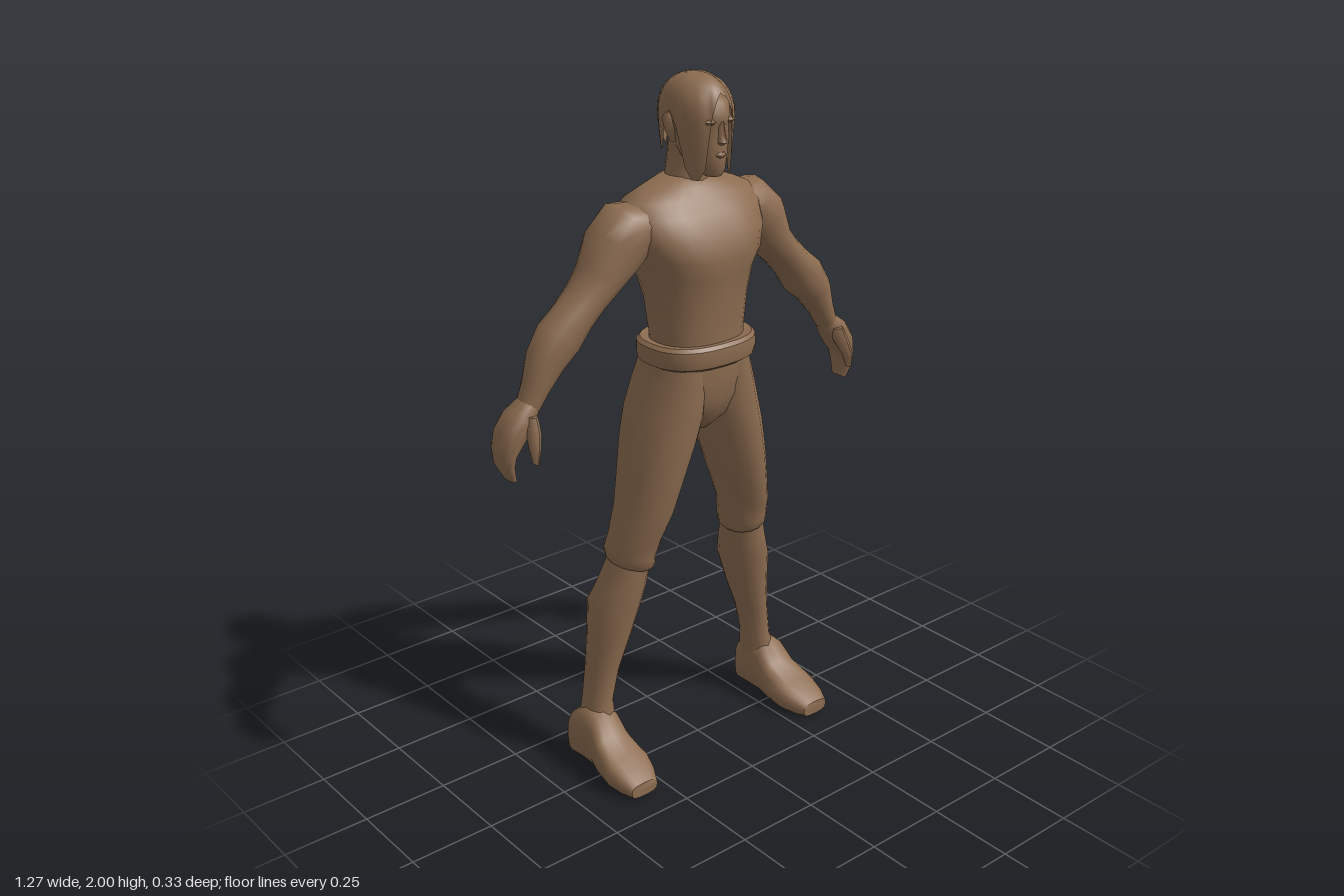
import * as THREE from 'three';
import { toCreasedNormals } from 'three/addons/utils/BufferGeometryUtils.js';

const brown = new THREE.MeshStandardMaterial({ color: 0x8c6c50, side: THREE.DoubleSide });
brown.name = 'brown';

// Loft through sections [x, y, halfWidth, zFront, zBack, squareness].
// follow: rings turn with the path; otherwise they stay level (list upward).
function loft(sections, { follow = false, sides = 16, shape = null, crease = 1.0 } = {}) {
  const pos = [], idx = [], n = sections.length;
  sections.forEach(([x, y, a, zf, zb, e = 2], i) => {
    let ux = 1, uy = 0;
    if (follow) {
      const p = sections[Math.max(i - 1, 0)], q = sections[Math.min(i + 1, n - 1)];
      const len = Math.hypot(q[0] - p[0], q[1] - p[1]);
      ux = (q[1] - p[1]) / len;
      uy = -(q[0] - p[0]) / len;
    }
    for (let j = 0; j < sides; j++) {
      const t = (j / sides) * Math.PI * 2, c = Math.cos(t), s = Math.sin(t);
      const u = a * Math.sign(c) * Math.abs(c) ** (2 / e);
      const v = (zf - zb) / 2 * Math.sign(s) * Math.abs(s) ** (2 / e);
      const pt = new THREE.Vector3(x + ux * u, y + uy * u, (zf + zb) / 2 + v);
      if (shape) shape(pt);
      pos.push(pt.x, pt.y, pt.z);
    }
  });
  for (let i = 0; i < n - 1; i++) for (let j = 0; j < sides; j++) {
    const A = i * sides + j, B = i * sides + (j + 1) % sides, D = A + sides, C = B + sides;
    idx.push(A, D, C, A, C, B);
  }
  // end caps
  for (let j = 1; j < sides - 1; j++) {
    const top = (n - 1) * sides;
    idx.push(0, j, j + 1, top, top + j + 1, top + j);
  }
  const g = new THREE.BufferGeometry();
  g.setAttribute('position', new THREE.Float32BufferAttribute(pos, 3));
  g.setIndex(idx);
  return toCreasedNormals(g, crease);
}

// Mirror across x, reversing the corner order of each triangle
function mirror(geometry) {
  const g = geometry.index ? geometry.toNonIndexed() : geometry.clone();
  g.scale(-1, 1, 1);
  for (const attr of [g.attributes.position, g.attributes.normal]) {
    const a = attr.array;
    for (let i = 0; i < a.length; i += 9) for (let k = 0; k < 3; k++) {
      [a[i + 3 + k], a[i + 6 + k]] = [a[i + 6 + k], a[i + 3 + k]];
    }
  }
  return g;
}

// Hair: a cap whose hem height varies around the head (front to back)
function hairGeometry() {
  const hem = [1.955, 1.94, 1.9, 1.76, 1.73, 1.73, 1.76, 1.87, 1.91, 1.88, 1.81, 1.79, 1.84, 1.78, 1.83, 1.79, 1.83];
  const radius = (y) => y > 1.89 ? Math.sqrt(Math.max(0, 1 - ((y - 1.89) / 0.11) ** 2.4)) : 1 - (1.89 - y) * 1.1;
  const pos = [], idx = [], cols = 32, rows = 10;
  for (let r = 0; r <= rows; r++) for (let j = 0; j < cols; j++) {
    const t = (j / cols) * Math.PI * 2, low = hem[j <= 16 ? j : cols - j];
    const y = 2 - (2 - low) * (r / rows) ** 1.6;
    const k = radius(y);
    pos.push(0.091 * k * Math.sin(t), y, -0.008 + 0.117 * (y < 1.89 ? (k + 1) / 2 : k) * Math.cos(t));
  }
  for (let r = 0; r < rows; r++) for (let j = 0; j < cols; j++) {
    const A = r * cols + j, B = r * cols + (j + 1) % cols;
    idx.push(A, A + cols, B + cols, A, B + cols, B);
  }
  const g = new THREE.BufferGeometry();
  g.setAttribute('position', new THREE.Float32BufferAttribute(pos, 3));
  g.setIndex(idx);
  g.computeVertexNormals();
  return g;
}

export function createModel() {
  const model = new THREE.Group();
  model.name = 'figure';
  const add = (name, geometry) => {
    const m = new THREE.Mesh(geometry, brown);
    m.name = name;
    model.add(m);
    return m;
  };
  const addPair = (name, geometry) => {
    add('left' + name, geometry);
    add('right' + name, mirror(geometry));
  };

  // Torso, with a groove down the spine and between the chest muscles
  add('torso', loft([
    [0, 1.22, 0.135, 0.1, -0.115, 2.3], [0, 1.3, 0.137, 0.1, -0.115, 2.3], [0, 1.4, 0.148, 0.108, -0.13, 2.3],
    [0, 1.47, 0.168, 0.115, -0.148, 2.3], [0, 1.52, 0.188, 0.128, -0.16, 2.4], [0, 1.58, 0.212, 0.115, -0.167, 2.4],
    [0, 1.635, 0.222, 0.082, -0.16, 2.3], [0, 1.675, 0.205, 0.05, -0.142, 2.2], [0, 1.7, 0.15, 0.03, -0.125], [0, 1.725, 0.07, 0.005, -0.11],
  ], {
    sides: 28,
    shape: (p) => {
      const mid = Math.max(0, 1 - Math.abs(p.x) / 0.05);
      if (p.z < -0.08 && p.y > 1.25 && p.y < 1.69) p.z += 0.022 * mid;
      if (p.z > 0.04 && p.y > 1.5 && p.y < 1.65) p.z -= 0.008 * mid;
    },
  }));
  add('neck', loft([[0, 1.68, 0.075, 0.02, -0.12], [0, 1.73, 0.058, 0.015, -0.108], [0, 1.78, 0.055, 0.02, -0.1], [0, 1.84, 0.055, 0.02, -0.09]]));

  // Head and face
  add('head', loft([
    [0, 1.737, 0.022, 0.085, 0.04], [0, 1.752, 0.038, 0.094, -0.01], [0, 1.785, 0.053, 0.096, -0.06], [0, 1.83, 0.065, 0.098, -0.09],
    [0, 1.868, 0.07, 0.094, -0.1], [0, 1.885, 0.071, 0.102, -0.1], [0, 1.93, 0.07, 0.094, -0.1], [0, 1.97, 0.04, 0.05, -0.06],
  ], { sides: 20 }));
  add('nose', loft([[0, 1.822, 0.008, 0.1, 0.08], [0, 1.83, 0.014, 0.118, 0.08], [0, 1.85, 0.009, 0.109, 0.08], [0, 1.885, 0.007, 0.102, 0.08]], { sides: 8 }));
  add('lips', loft([[0, 1.788, 0.012, 0.098, 0.07], [0, 1.795, 0.019, 0.103, 0.07], [0, 1.803, 0.013, 0.1, 0.07]], { sides: 10 }));
  addPair('Brow', loft([[0.03, 1.876, 0.018, 0.093, 0.06], [0.032, 1.884, 0.021, 0.102, 0.06], [0.032, 1.892, 0.016, 0.093, 0.06]], { sides: 8 }));
  addPair('Ear', loft([[0.076, 1.825, 0.007, 0.0, -0.02], [0.082, 1.855, 0.01, 0.005, -0.035], [0.087, 1.885, 0.01, 0.0, -0.04], [0.085, 1.9, 0.006, -0.01, -0.03]], { sides: 8 }));
  add('hair', hairGeometry());

  // Arms
  addPair('Arm', loft([
    [0.15, 1.615, 0.06, 0.035, -0.13], [0.205, 1.605, 0.084, 0.045, -0.14], [0.25, 1.56, 0.086, 0.045, -0.138], [0.3, 1.49, 0.06, 0.03, -0.125],
    [0.345, 1.445, 0.053, 0.022, -0.115], [0.385, 1.405, 0.054, 0.018, -0.112], [0.435, 1.352, 0.066, 0.015, -0.11],
    [0.478, 1.303, 0.055, 0.01, -0.102], [0.512, 1.237, 0.037, -0.003, -0.09], [0.538, 1.188, 0.03, -0.01, -0.085],
  ], { follow: true, sides: 14 }));
  addPair('Hand', loft([
    [0.53, 1.2, 0.028, -0.012, -0.085], [0.567, 1.16, 0.037, 0, -0.1, 2.6], [0.595, 1.12, 0.036, -0.002, -0.103, 2.8],
    [0.613, 1.075, 0.021, -0.008, -0.102, 2.8], [0.615, 1.04, 0.015, -0.012, -0.095, 2.8], [0.602, 1.0, 0.008, -0.02, -0.075, 2.8],
  ], { follow: true, sides: 12 }));
  addPair('Thumb', loft([
    [0.55, 1.175, 0.016, 0.01, -0.05], [0.556, 1.135, 0.018, 0.03, -0.025], [0.566, 1.095, 0.014, 0.04, 0.002], [0.568, 1.058, 0.008, 0.037, 0.015],
  ], { follow: true, sides: 8 }));

  // Belt and trousers
  add('belt', loft([
    [0, 1.215, 0.145, 0.11, -0.13, 2.5], [0, 1.225, 0.163, 0.124, -0.143, 2.5], [0, 1.245, 0.167, 0.128, -0.146, 2.5],
    [0, 1.275, 0.167, 0.126, -0.144, 2.5], [0, 1.285, 0.157, 0.118, -0.135, 2.5], [0, 1.283, 0.137, 0.1, -0.115, 2.5],
  ], { sides: 28, crease: 0.6 }));
  add('trouserSeat', loft([
    [0, 1.01, 0.03, 0.03, -0.09], [0, 1.06, 0.1, 0.082, -0.125], [0, 1.12, 0.16, 0.098, -0.148, 2.3],
    [0, 1.18, 0.162, 0.105, -0.147, 2.4], [0, 1.24, 0.148, 0.105, -0.135, 2.4],
  ], { sides: 24 }));
  addPair('TrouserLeg', loft([
    [0.213, 0.625, 0.056, 0.022, -0.118], [0.212, 0.637, 0.066, 0.032, -0.128], [0.212, 0.66, 0.068, 0.034, -0.132], [0.2, 0.72, 0.07, 0.052, -0.124],
    [0.175, 0.8, 0.074, 0.075, -0.13], [0.15, 0.9, 0.083, 0.09, -0.142], [0.121, 1, 0.094, 0.1, -0.158],
    [0.098, 1.08, 0.097, 0.104, -0.164], [0.087, 1.15, 0.085, 0.105, -0.155], [0.076, 1.24, 0.07, 0.1, -0.132],
  ], { shape: (p) => { if (p.y < 0.69) p.y += (p.x - 0.212) * 0.2; } }));

  // Boots: shaft, then a foot lofted from heel to toe
  addPair('BootShaft', loft([
    [0.318, 0.1, 0.05, -0.01, -0.15], [0.308, 0.2, 0.039, -0.035, -0.145], [0.29, 0.3, 0.045, -0.03, -0.147], [0.266, 0.4, 0.06, -0.015, -0.157],
    [0.247, 0.5, 0.074, 0.002, -0.166], [0.23, 0.56, 0.068, 0.01, -0.145], [0.212, 0.65, 0.056, 0.018, -0.118],
  ]));
  const foot = loft([
    [0.332, -0.167, 0.035, -0.012, -0.1, 3], [0.328, -0.145, 0.052, 0, -0.15, 3], [0.325, -0.09, 0.058, 0, -0.185, 2.6], [0.325, -0.035, 0.058, 0, -0.18, 2.6],
    [0.328, 0.01, 0.066, 0, -0.125, 2.8], [0.33, 0.08, 0.074, 0, -0.09, 3], [0.333, 0.13, 0.062, 0, -0.068, 3], [0.335, 0.165, 0.046, -0.004, -0.047, 3],
  ]);
  foot.rotateX(Math.PI / 2);
  addPair('Foot', foot);
  return model;
}
